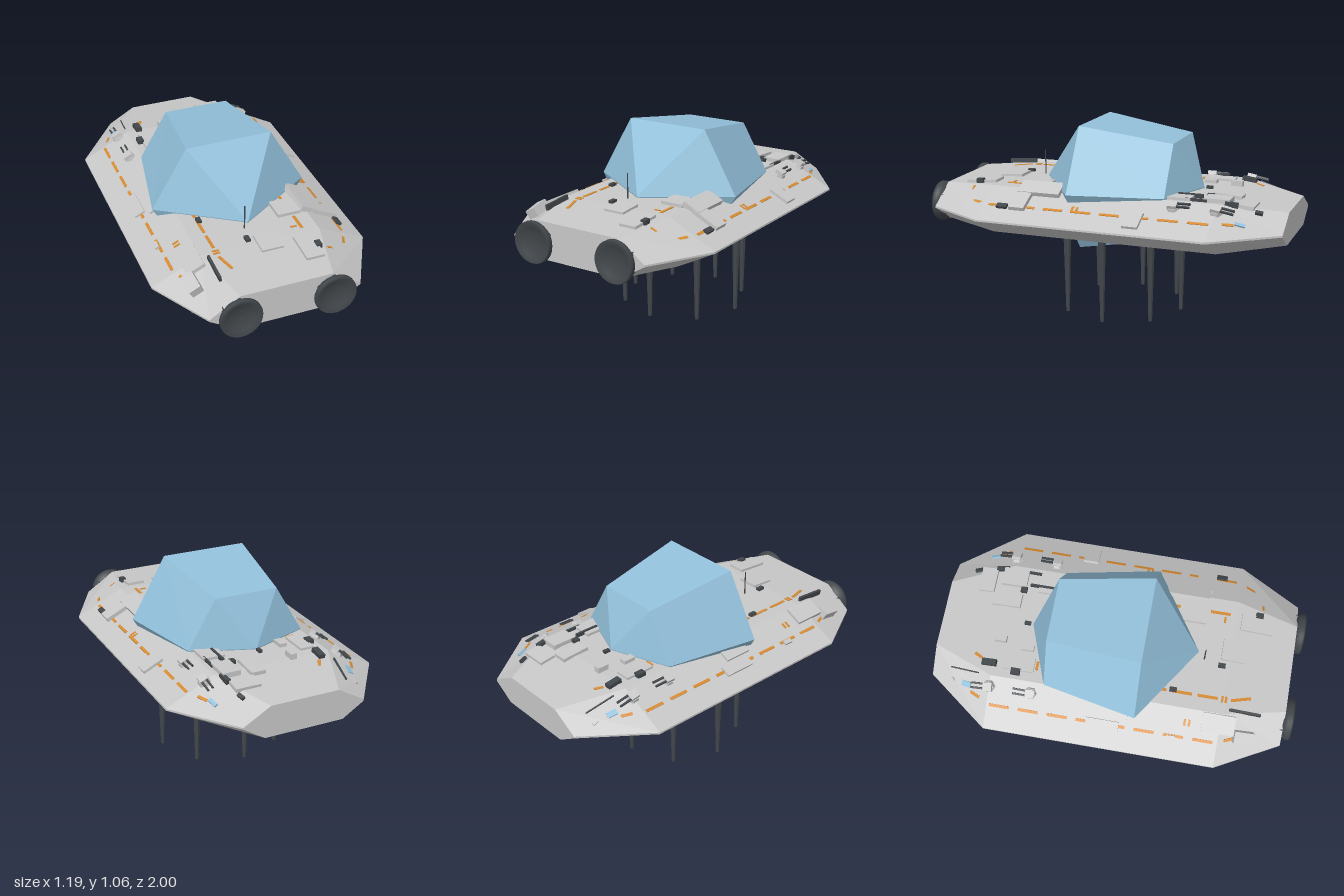
import * as THREE from 'three';

const mat = (name, color, extra = {}) => {
  const m = new THREE.MeshStandardMaterial({ color, flatShading: true, ...extra });
  m.name = name;
  return m;
};

// Deck and hull stations: z, deck half width, deck height, widest half width, keel half width, keel height
const STATIONS = [
  [-1, 0.19, 0.67, 0.34, 0.22, 0.5],
  [-0.66, 0.33, 0.715, 0.595, 0.37, 0.46],
  [0.61, 0.33, 0.715, 0.595, 0.37, 0.46],
  [0.95, 0.25, 0.69, 0.41, 0.26, 0.485],
];
const BELT = 0.58;

// Closed skin through rings of points, each running counter-clockwise seen from +z
function loft(rings) {
  const pos = [];
  const tri = (...pts) => pts.forEach((p) => pos.push(...p));
  const n = rings[0].length;
  for (let k = 0; k + 1 < rings.length; k++) {
    for (let i = 0; i < n; i++) {
      const j = (i + 1) % n;
      tri(rings[k][i], rings[k][j], rings[k + 1][j]);
      tri(rings[k][i], rings[k + 1][j], rings[k + 1][i]);
    }
  }
  const first = rings[0], last = rings[rings.length - 1];
  for (let i = 1; i + 1 < n; i++) {
    tri(first[0], first[i + 1], first[i]);
    tri(last[0], last[i], last[i + 1]);
  }
  const g = new THREE.BufferGeometry();
  g.setAttribute('position', new THREE.Float32BufferAttribute(pos, 3));
  g.computeVertexNormals();
  return g;
}

// Height of the upper hull at x, z
function deckY(x, z) {
  let k = 0;
  while (k < 2 && z > STATIONS[k + 1][0]) k++;
  const a = STATIONS[k], b = STATIONS[k + 1];
  const t = (z - a[0]) / (b[0] - a[0]);
  const [, wT, yT, w] = a.map((v, i) => v + (b[i] - v) * t);
  const s = Math.max(0, (Math.abs(x) - wT) / (w - wT));
  return yT + (BELT + 0.005 - yT) * s;
}

// Lays an object on the hull, tilted to its slope and turned about its normal
function onDeck(obj, x, z, turn = 0) {
  const e = 0.004;
  const dx = new THREE.Vector3(2 * e, deckY(x + e, z) - deckY(x - e, z), 0).normalize();
  const dz = new THREE.Vector3(0, deckY(x, z + e) - deckY(x, z - e), 2 * e).normalize();
  const up = dz.clone().cross(dx).normalize();
  const side = up.clone().cross(dz).normalize();
  obj.quaternion.setFromRotationMatrix(new THREE.Matrix4().makeBasis(side, up, dz));
  obj.rotateY(turn);
  obj.position.set(x, deckY(x, z), z);
  return obj;
}

export function createModel() {
  const hullGray = mat('hull gray', 0xc8c8c8);
  const dark = mat('dark metal', 0x42474b);
  const smoothDark = mat('dark metal', 0x42474b, { flatShading: false, side: THREE.DoubleSide });
  const glass = mat('blue glass', 0x92c0da);
  const orange = mat('orange paint', 0xd58a32);

  const root = new THREE.Group();
  const add = (name, geo, material, parent = root) => {
    const m = new THREE.Mesh(geo, material);
    m.name = name;
    parent.add(m);
    return m;
  };
  // Box sitting on the hull, slightly sunk so that it has no gap
  const deckBox = (name, material, x, z, w, d, h = 0.015, turn = 0) => {
    const g = new THREE.BoxGeometry(w, h + 0.006, d).translate(0, (h - 0.006) / 2, 0);
    return onDeck(add(name, g, material), x, z, turn);
  };

  // Hull
  add('hull', loft(STATIONS.map(([z, wT, yT, w, b, yB]) => [
    [w, BELT - 0.005, z], [w, BELT + 0.005, z], [wT, yT, z], [-wT, yT, z],
    [-w, BELT + 0.005, z], [-w, BELT - 0.005, z], [-b, yB, z], [b, yB, z],
  ])), hullGray);

  // Faceted glass core piercing the hull
  const hex = (z, w, v, h) => [
    [w, 0.72, z], [v, 0.72 + h, z], [-v, 0.72 + h, z],
    [-w, 0.72, z], [-v, 0.72 - h, z], [v, 0.72 - h, z],
  ];
  add('canopy', loft([
    hex(-0.49, 0, 0, 0), hex(-0.365, 0.335, 0.18, 0.265),
    hex(0.15, 0.437, 0.24, 0.34), hex(0.435, 0, 0, 0),
  ]), glass);

  // Ring of eight tapered legs
  const legGeo = new THREE.CylinderGeometry(0.024, 0.011, 0.5, 8).translate(0, 0.25, 0);
  for (let i = 0; i < 8; i++) {
    const a = (i * Math.PI) / 4;
    add('leg', legGeo, dark).position.set(0.345 * Math.sin(a), 0, -0.02 + 0.345 * Math.cos(a));
  }

  // Pair of round nozzles with fins
  const bell = [[0.04, -0.13], [0.06, -0.09], [0.1, -0.045], [0.113, -0.03], [0.113, -0.01], [0.108, 0],
    [0.08, -0.015], [0.04, -0.025], [0, -0.028]].map(([r, y]) => new THREE.Vector2(r, y));
  const bellGeo = new THREE.LatheGeometry(bell, 32).rotateX(Math.PI / 2);
  for (const s of [1, -1]) {
    const nozzle = new THREE.Group();
    nozzle.name = 'nozzle';
    nozzle.position.set(s * 0.255, BELT, 1);
    add('bell', bellGeo, smoothDark, nozzle);
    for (let i = 0; i < 6; i++) {
      const fin = new THREE.BoxGeometry(0.018, 0.03, 0.07).translate(0, 0.085, -0.055).rotateZ((i * Math.PI) / 3);
      add('nozzleFin', fin, dark, nozzle);
    }
    root.add(nozzle);
  }

  // Gray equipment panels: x, z, width, depth, height, turn
  [
    [-0.38, 0.6, 0.105, 0.18, 0.015], [-0.415, 0.74, 0.065, 0.11, 0.045, 0.1],
    [0.035, 0.625, 0.12, 0.13, 0.012], [0.215, 0.73, 0.1, 0.18, 0.015],
    [0.23, 0.385, 0.13, 0.13, 0.018], [0.43, 0.41, 0.16, 0.09, 0.022],
    [0.34, 0.33, 0.1, 0.24, 0.025], [0.5, -0.25, 0.12, 0.085, 0.015],
    [-0.48, -0.02, 0.06, 0.18, 0.012], [-0.4, 0.03, 0.08, 0.16, 0.012],
    [-0.24, -0.52, 0.08, 0.17, 0.012], [-0.117, -0.645, 0.035, 0.065, 0.03],
    [-0.14, -0.49, 0.04, 0.07, 0.02], [0.225, -0.79, 0.14, 0.09, 0.015],
    [0.12, -0.66, 0.08, 0.16, 0.015], [0.255, -0.64, 0.1, 0.14, 0.022],
    [0.25, -0.43, 0.12, 0.14, 0.015], [-0.485, 0.36, 0.025, 0.05, 0.012],
    [-0.36, -0.88, 0.015, 0.03, 0.01],
  ].forEach((p) => deckBox('deckPanel', hullGray, ...p));

  // Dark fittings: x, z, width, depth, height, turn
  [
    [-0.26, -0.68, 0.035, 0.08, 0.022], [-0.29, -0.53, 0.035, 0.05, 0.022],
    [0, -0.52, 0.02, 0.035, 0.015], [0.19, -0.58, 0.03, 0.035, 0.02],
    [0.225, -0.48, 0.012, 0.14, 0.022], [0.3, -0.53, 0.012, 0.12, 0.015],
    [0.3, -0.72, 0.025, 0.07, 0.02, 0.1], [0.28, -0.86, 0.02, 0.04, 0.015, 0.3],
    [-0.06, 0.57, 0.025, 0.04, 0.015], [-0.24, 0.33, 0.025, 0.04, 0.015],
    [-0.3, 0.73, 0.014, 0.17, 0.025], [0.265, 0.735, 0.03, 0.04, 0.025],
    [0.485, 0.5, 0.03, 0.06, 0.015], [-0.31, -0.81, 0.006, 0.17, 0.01, -0.15],
  ].forEach((p) => deckBox('deckFitting', dark, ...p));

  // Blue instrument plates
  deckBox('bluePlate', glass, 0.4, -0.79, 0.02, 0.055, 0.008, 0.25);
  deckBox('bluePlate', glass, -0.38, -0.79, 0.03, 0.055, 0.008, -0.25);

  // Orange dashed lines
  const dash = (x, z, l = 0.11, turn = 0, w = 0.016) => deckBox('orangeDash', orange, x, z, w, l, 0.003, turn);
  for (const s of [1, -1]) {
    for (let i = 0; i < 8; i++) dash(s * 0.475, -0.59 + i * 0.16);
    dash(s * 0.44, 0.68, 0.08, -s * 0.45);
    dash(s * 0.43, -0.735, 0.06, s * 0.5);
    for (let i = 0; i < 3; i++) dash(s * 0.247, 0.24 + i * 0.14);
    dash(s * 0.235, -0.42, 0.014, 0, 0.05);
  }
  dash(-0.23, 0.7, 0.11, 0.3);
  dash(-0.225, -0.75, 0.05, -0.5);
  for (const [x, z] of [[-0.4, 0.42], [-0.4, 0.445], [-0.247, 0.6], [-0.247, 0.62],
    [0.455, 0.08], [0.455, 0.105], [0.21, 0.55], [0.325, 0.75]]) dash(x, z, 0.012, 0, 0.036);

  // Four twin-barrel turrets aiming backwards
  for (const x of [-0.385, 0.385]) {
    for (const z of [-0.66, -0.43]) {
      const turret = new THREE.Group();
      turret.name = 'turret';
      add('turretBase', new THREE.CylinderGeometry(0.03, 0.036, 0.02, 6).translate(0, 0.006, 0), hullGray, turret);
      add('turretHead', new THREE.BoxGeometry(0.045, 0.02, 0.05).translate(0, 0.024, 0), hullGray, turret);
      for (const s of [1, -1]) {
        add('barrel', new THREE.BoxGeometry(0.01, 0.01, 0.08).translate(s * 0.013, 0.026, -0.055), dark, turret);
      }
      root.add(onDeck(turret, x, z));
    }
  }

  // Antenna
  add('antenna', new THREE.CylinderGeometry(0.003, 0.004, 0.15, 6), dark).position.set(-0.035, 0.78, 0.47);

  return root;
}
